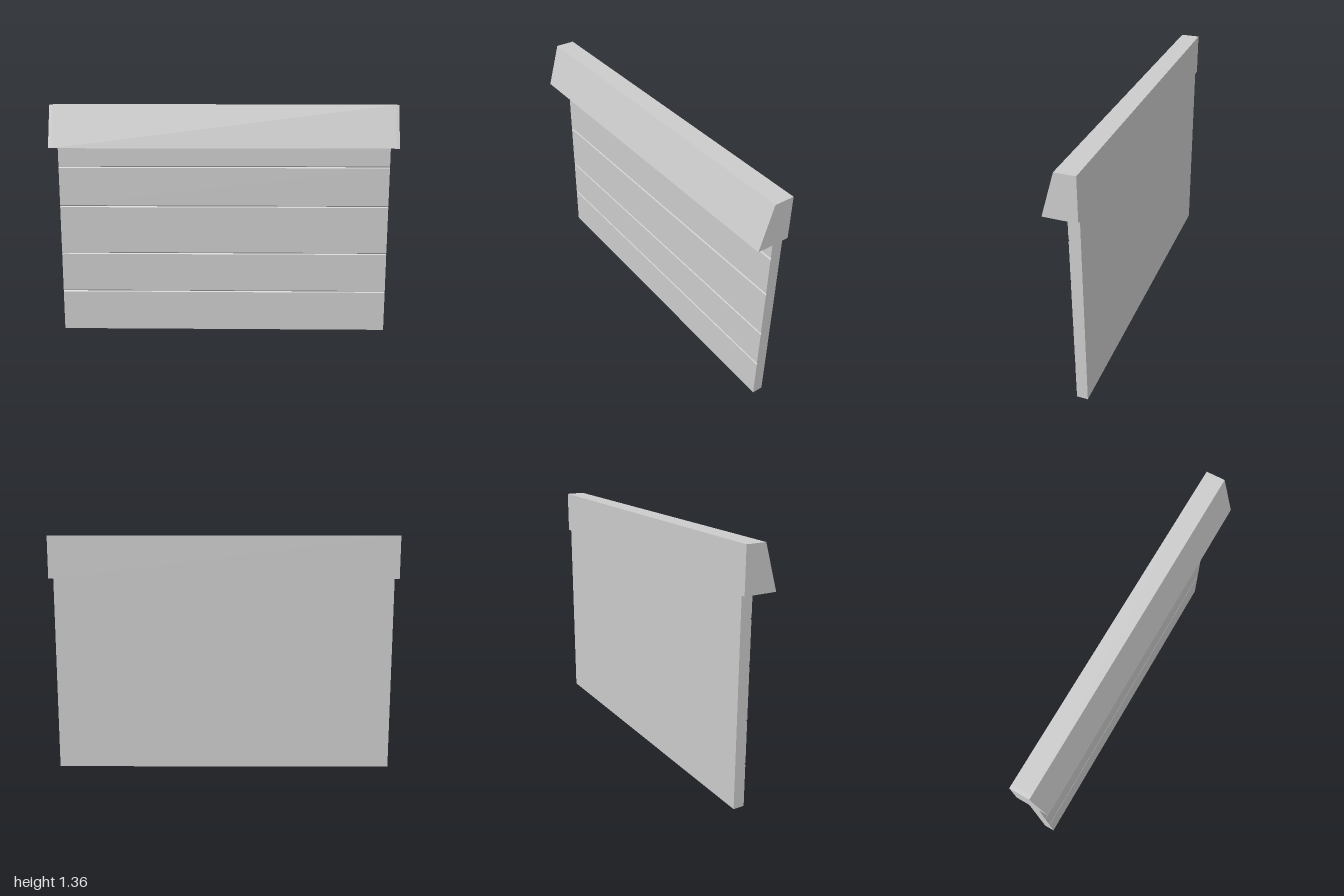
import * as THREE from 'three';

const material = new THREE.MeshStandardMaterial({ color: 0xcccccc, flatShading: true });

// Extrude a [z, y] profile along x, centred on x = centre
function profileMesh(name, points, width, centre = 0) {
  const shape = new THREE.Shape(points.map(([z, y]) => new THREE.Vector2(z, y)));
  const geometry = new THREE.ExtrudeGeometry(shape, { depth: width, bevelEnabled: false });
  geometry.translate(0, 0, -width / 2).rotateY(-Math.PI / 2).translate(centre, 0, 0);
  const mesh = new THREE.Mesh(geometry, material);
  mesh.name = name;
  return mesh;
}

export function createModel() {
  const model = new THREE.Group();
  model.name = 'rollerShutter';

  // Door panel with shallow V grooves across the front
  const back = -0.087, front = -0.025, top = 1.13;
  const panel = [[back, 0], [front, 0]];
  for (const y of [0.24, 0.475, 0.76, 0.995]) {
    panel.push([front, y - 0.006], [front - 0.005, y], [front, y + 0.006]);
  }
  panel.push([front, top], [back, top]);
  model.add(profileMesh('doorPanel', panel, 1.945));

  // Sloping hood, a thin shell open at the bottom
  const hood = new THREE.Group();
  hood.name = 'hood';
  const low = 1.115, high = 1.357, wall = 0.02;
  const outer = [[-0.091, low], [0.091, low], [0.019, high], [-0.091, high]];
  const shell = [
    [0.091, low], [0.019, high], [-0.091, high], [-0.091, low],
    [-0.087, low], [-0.087, high - wall], [0.004, high - wall], [0.07, low],
  ];
  hood.add(profileMesh('hoodShell', shell, 2 - 2 * wall));
  for (const side of [-1, 1]) {
    hood.add(profileMesh(side > 0 ? 'leftEndCap' : 'rightEndCap', outer, wall, side * (1 - wall / 2)));
  }
  model.add(hood);

  return model;
}
